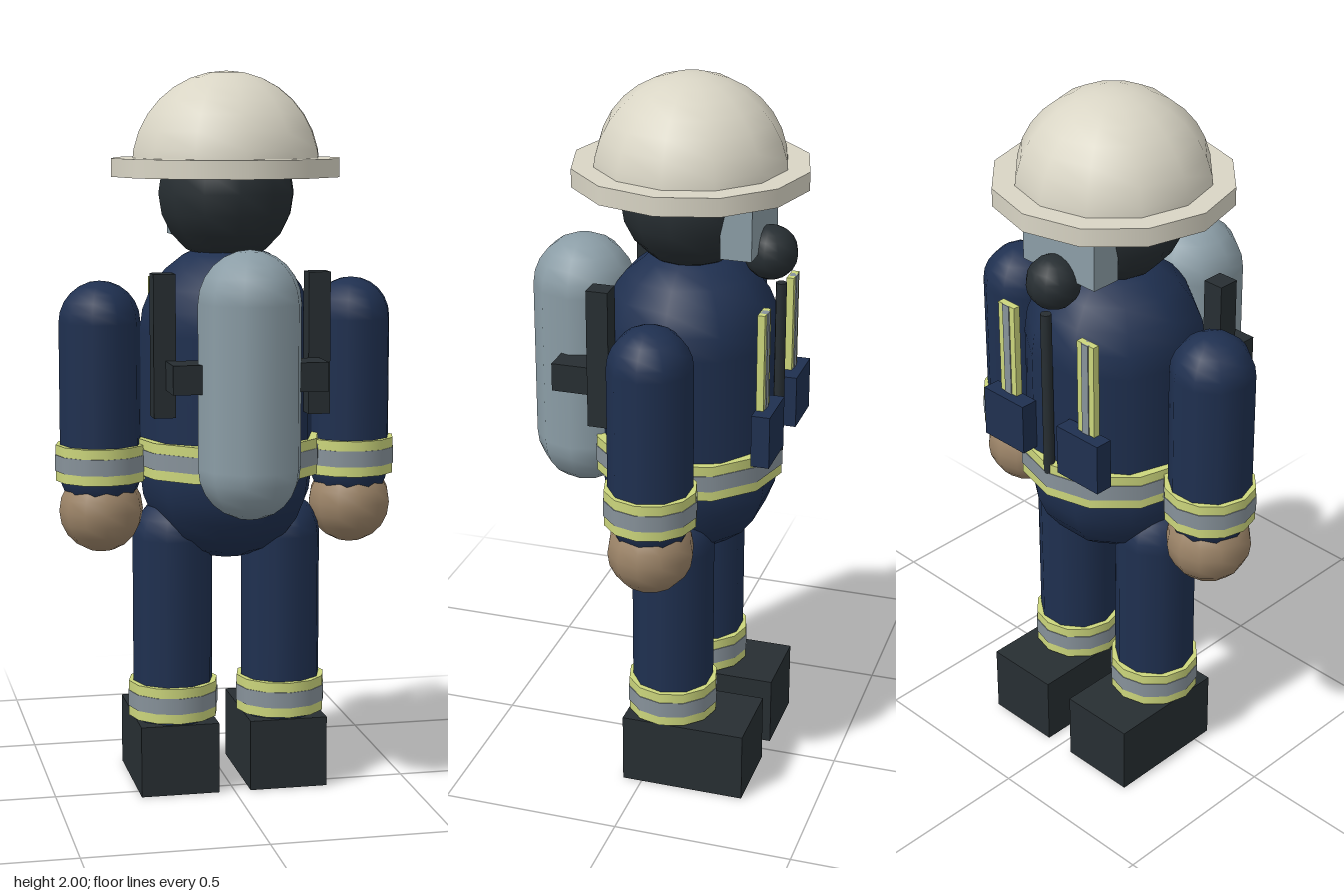
import * as THREE from 'three';

const mat = (color) => new THREE.MeshStandardMaterial({ color });
const navy = mat(0x1f3050), cream = mat(0xd9d5c5), lime = mat(0xccd67c), silver = mat(0x87929a);
const skin = mat(0x9c8468), black = mat(0x272e32), steel = mat(0x8b9da6);
const Z = -0.06; // body axis

export function createModel() {
  const model = new THREE.Group();
  model.name = 'firefighter';

  const add = (name, geometry, material, x, y, z) => {
    const mesh = new THREE.Mesh(geometry, material);
    mesh.name = name;
    mesh.position.set(x, y, z);
    model.add(mesh);
    return mesh;
  };
  const box = (name, m, w, h, d, x, y, z) => add(name, new THREE.BoxGeometry(w, h, d), m, x, y, z);
  const ball = (name, m, r, x, y, z) => add(name, new THREE.SphereGeometry(r, 12, 10), m, x, y, z);
  // Round-ended limb spanning bottom to top
  const capsule = (name, m, r, bottom, top, x, z) =>
    add(name, new THREE.CapsuleGeometry(r, top - bottom - 2 * r, 6, 10), m, x, (top + bottom) / 2, z);
  // Reflective band: lime ring with a silver stripe round the middle
  const band = (name, r, x, y) => {
    add(name, new THREE.CylinderGeometry(r, r, 0.1, 12), lime, x, y, Z);
    add(name + 'Stripe', new THREE.CylinderGeometry(r + 0.002, r + 0.002, 0.045, 12), silver, x, y, Z);
  };

  // Torso, belt and head
  capsule('torso', navy, 0.245, 0.655, 1.535, 0, Z);
  band('belt', 0.262, 0, 0.95);
  ball('head', black, 0.19, 0, 1.67, Z);

  // Helmet
  add('helmetDome', new THREE.SphereGeometry(0.263, 12, 8, 0, Math.PI * 2, 0, Math.PI / 2), cream, 0, 1.737, Z);
  add('helmetBrim', new THREE.CylinderGeometry(0.32, 0.32, 0.05, 12), cream, 0, 1.74, Z);

  // Breathing mask with regulator and hose
  box('mask', steel, 0.26, 0.17, 0.085, 0, 1.635, -0.22);
  ball('regulator', black, 0.073, 0, 1.537, -0.28);
  add('hose', new THREE.CylinderGeometry(0.015, 0.015, 0.485, 8), black, 0, 1.2125, -0.31);

  // Air tank and its bracket
  capsule('airTank', steel, 0.14, 0.815, 1.533, 0, 0.242);
  box('tankBracket', black, 0.42, 0.078, 0.11, 0, 1.195, 0.21);

  // Mirrored parts
  for (const [side, s] of [['left', 1], ['right', -1]]) {
    capsule(side + 'Arm', navy, 0.113, 0.79, 1.434, s * 0.355, Z);
    band(side + 'Cuff', 0.125, s * 0.355, 0.935);
    ball(side + 'Hand', skin, 0.117, s * 0.355, 0.8, Z);

    capsule(side + 'Leg', navy, 0.113, 0.1, 0.83, s * 0.155, Z);
    band(side + 'AnkleBand', 0.126, s * 0.155, 0.257);
    box(side + 'Boot', black, 0.22, 0.2, 0.35, s * 0.155, 0.1, -0.12);

    box(side + 'Strap', black, 0.06, 0.385, 0.06, s * 0.212, 1.2725, 0.123);
    box(side + 'Pocket', navy, 0.15, 0.145, 0.05, s * 0.14, 1.085, -0.317);
    box(side + 'ChestStripe', lime, 0.06, 0.27, 0.02, s * 0.147, 1.29, -0.304);
    box(side + 'ChestStripeCentre', silver, 0.024, 0.27, 0.02, s * 0.147, 1.29, -0.307);
  }
  return model;
}
